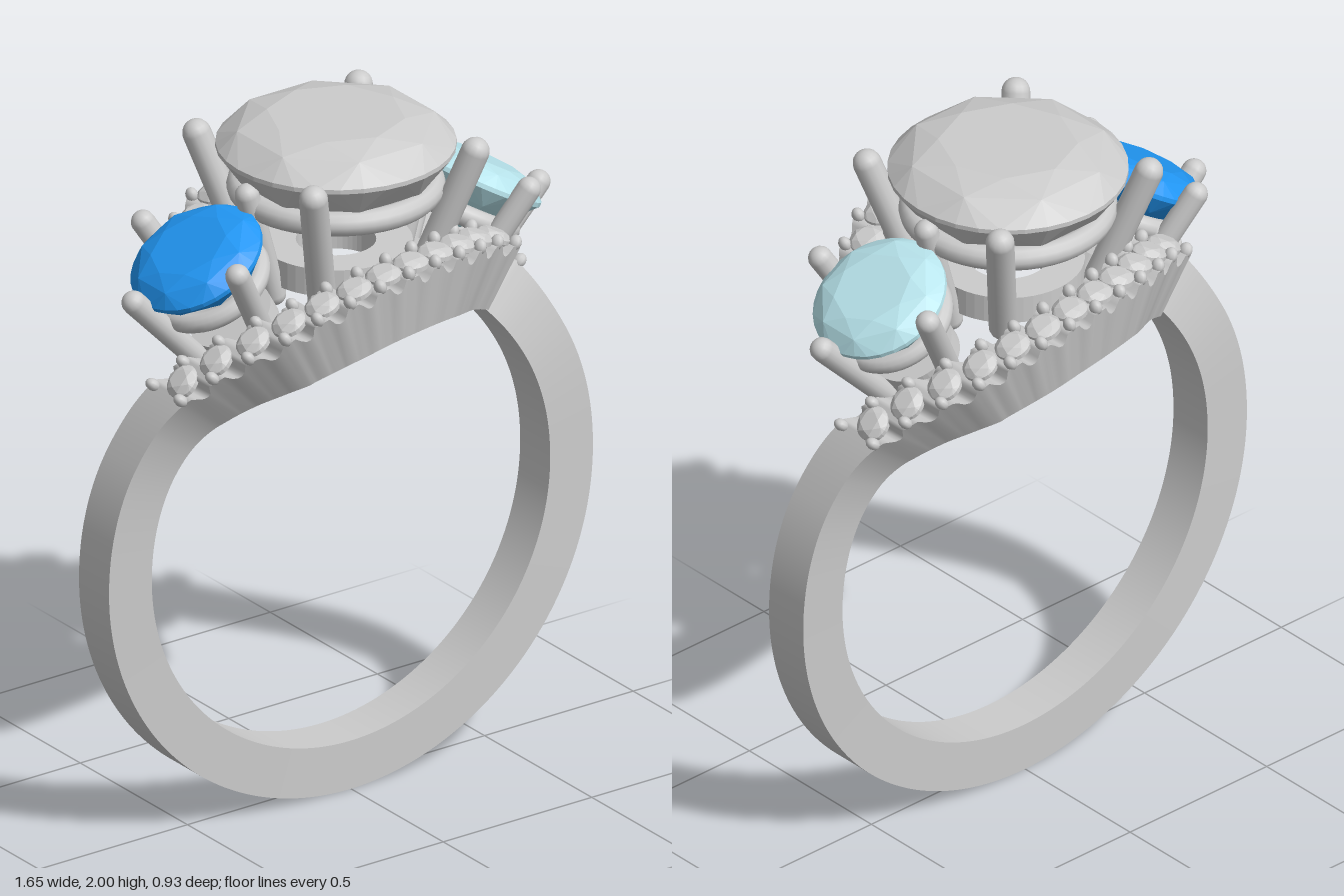
import * as THREE from 'three';
import { ConvexGeometry } from 'three/addons/geometries/ConvexGeometry.js';

const metal = new THREE.MeshStandardMaterial({ color: 0xcccccc });
const blue = new THREE.MeshStandardMaterial({ color: 0x2196f3 });
const paleBlue = new THREE.MeshStandardMaterial({ color: 0xb8e4ec });
const rad = THREE.MathUtils.degToRad;
const CENTRE = 0.825, INNER = 0.68;
const END = -28, FIRST = -24, PITCH = 6.4, STONES = 12;

function mesh(name, geometry, material = metal) {
  const m = new THREE.Mesh(geometry, material);
  m.name = name;
  return m;
}

// Sideways drift of the bypass band: [degrees from the top, z]
const drift = [[-28, -0.215], [-20, -0.262], [-10, -0.335], [0, -0.378], [9, -0.39], [18, -0.378],
  [29, -0.32], [36, -0.25], [42, -0.18], [50, -0.1], [58, -0.055], [70, -0.027], [90, -0.015], [130, -0.004], [180, 0]];
function driftAt(deg) {
  if (deg > 180) return -driftAt(360 - deg);
  let i = 0;
  while (i < drift.length - 2 && deg > drift[i + 1][0]) i++;
  const slope = (k) => {
    const a = drift[Math.max(k - 1, 0)], b = drift[Math.min(k + 1, drift.length - 1)];
    return (b[1] - a[1]) / (b[0] - a[0]);
  };
  const [x0, y0] = drift[i], [x1, y1] = drift[i + 1];
  const h = x1 - x0, t = (deg - x0) / h, u = 1 - t;
  return u * u * (1 + 2 * t) * y0 + t * t * (3 - 2 * t) * y1 + h * t * u * (u * slope(i) - t * slope(i + 1));
}
function halfWidth(deg) {
  const slope = (driftAt(deg + 0.5) - driftAt(deg - 0.5)) / (rad(1) * 0.8);
  return 0.07 * Math.min(1.2, Math.hypot(1, slope));
}
function outerRadius(deg) {
  const a = deg > 180 ? 360 - deg : deg;
  return 0.825 + 0.048 * (1 - THREE.MathUtils.smoothstep(a, 20, 65));
}
const polar = (deg, r, z) =>
  new THREE.Vector3(r * Math.sin(rad(deg)), CENTRE + r * Math.cos(rad(deg)), z);

// Band: one strip that overlaps itself at the top, with scalloped stone seats
function band() {
  const steps = 560, pos = [], idx = [], sections = [];
  for (let i = 0; i <= steps; i++) {
    const deg = END + (360 - 2 * END) * i / steps;
    const a = deg > 180 ? 360 - deg : deg;
    const k = (a - FIRST) / PITCH;
    const seat = k > -0.5 && k < STONES - 0.5 ? Math.max(0, Math.cos(2 * Math.PI * k)) : 0;
    const r = outerRadius(deg) - 0.03 * Math.sqrt(seat);
    const z = driftAt(deg), zi = z * 0.9, w = halfWidth(deg);
    sections.push([polar(deg, r, z + w), polar(deg, r, z - w),
      polar(deg, INNER, zi - w), polar(deg, INNER, zi + w)]);
  }
  // each side has its own vertices so the long edges stay sharp
  for (let side = 0; side < 4; side++) {
    const start = pos.length / 3;
    sections.forEach((s, i) => {
      pos.push(...s[side].toArray(), ...s[(side + 1) % 4].toArray());
      if (i === steps) return;
      const a = start + i * 2;
      idx.push(a, a + 2, a + 1, a + 1, a + 2, a + 3);
    });
  }
  [[sections[0], [0, 1, 2, 0, 2, 3]], [sections[steps], [0, 2, 1, 0, 3, 2]]].forEach(([s, order]) => {
    const start = pos.length / 3;
    s.forEach((p) => pos.push(...p.toArray()));
    idx.push(...order.map((o) => start + o));
  });
  const g = new THREE.BufferGeometry();
  g.setAttribute('position', new THREE.Float32BufferAttribute(pos, 3));
  g.setIndex(idx);
  g.computeVertexNormals();
  return mesh('band', g);
}

// Faceted round stone, girdle at y = 0
function gemGeometry(R, crown, depth, n) {
  const pts = [new THREE.Vector3(0, -depth, 0)];
  const ring = (r, y, count, turn) => {
    for (let i = 0; i < count; i++) {
      const a = 2 * Math.PI * (i + turn) / count;
      pts.push(new THREE.Vector3(r * Math.cos(a), y, r * Math.sin(a)));
    }
  };
  ring(R * 0.58, crown, n, 0);
  ring(R * 0.84, crown * 0.72, n, 0.5);
  ring(R, 0.005, n * 4, 0);
  ring(R, -0.008, n * 4, 0);
  ring(R * 0.8, -depth * 0.36, n, 0.5);
  return new ConvexGeometry(pts);
}

// Round-ended rod between two points
function rod(name, a, b, r) {
  const d = b.clone().sub(a);
  const m = mesh(name, new THREE.CapsuleGeometry(r, d.length(), 6, 14));
  m.position.copy(a).addScaledVector(d, 0.5);
  m.quaternion.setFromUnitVectors(new THREE.Vector3(0, 1, 0), d.normalize());
  return m;
}

// Four-prong basket holding a stone, girdle at its origin
function setting(name, o, material) {
  const g = new THREE.Group();
  g.name = name;
  g.add(mesh('stone', gemGeometry(o.R, o.crown, o.depth, 8), material));
  const gallery = mesh('galleryRing', new THREE.TorusGeometry(o.ringR, o.tube, 12, 48));
  gallery.rotation.x = Math.PI / 2;
  gallery.position.y = o.ringY;
  g.add(gallery);
  const shape = new THREE.Shape().absarc(0, 0, o.baseOut, 0, Math.PI * 2);
  shape.holes.push(new THREE.Path().absarc(0, 0, o.baseIn, 0, Math.PI * 2, true));
  const base = mesh('baseRing', new THREE.ExtrudeGeometry(shape,
    { depth: o.baseH, bevelEnabled: false, curveSegments: 24 }));
  base.rotation.x = -Math.PI / 2;
  base.position.y = o.footY - 0.01;
  g.add(base);
  for (let i = 0; i < 4; i++) {
    const a = o.turn + i * Math.PI / 2, c = Math.cos(a), s = Math.sin(a);
    g.add(rod('prong', new THREE.Vector3(o.footR * c, o.footY, o.footR * s),
      new THREE.Vector3(o.tipR * c, o.tipY, o.tipR * s), o.prong));
  }
  return g;
}

// Row of small stones with bead pairs between them
function paveRow() {
  const g = new THREE.Group();
  g.name = 'paveRow';
  const stone = gemGeometry(0.05, 0.022, 0.035, 6);
  const bead = new THREE.SphereGeometry(0.018, 10, 8);
  for (let i = 0; i <= STONES; i++) {
    const deg = FIRST + i * PITCH;
    if (i < STONES) {
      const m = mesh('paveStone', stone);
      m.position.copy(polar(deg, outerRadius(deg) + 0.002, driftAt(deg)));
      m.rotation.z = -rad(deg);
      g.add(m);
    }
    const mid = Math.max(deg - PITCH / 2, END + 1), w = halfWidth(mid) - 0.016;
    for (const side of [-1, 1]) {
      const b = mesh('bead', bead);
      b.position.copy(polar(mid, outerRadius(mid) + 0.008, driftAt(mid) + side * w));
      b.rotation.z = -rad(mid);
      b.scale.set(0.95, 1.25, 1.15);
      g.add(b);
    }
  }
  return g;
}

export function createModel() {
  const model = new THREE.Group();
  model.name = 'ring';
  model.add(band());

  // Pave on both arms, related by a half turn
  const back = paveRow(), front = back.clone();
  front.rotation.y = Math.PI;
  model.add(back, front);

  const centre = setting('centreSetting', {
    R: 0.33, crown: 0.085, depth: 0.28, ringR: 0.265, ringY: -0.125, tube: 0.035,
    baseIn: 0.11, baseOut: 0.21, baseH: 0.08, turn: Math.PI / 4,
    footR: 0.24, footY: -0.36, tipR: 0.385, tipY: 0, prong: 0.04,
  }, metal);
  centre.position.y = 1.915;
  model.add(centre);

  // Side stones lean outwards
  for (const s of [-1, 1]) {
    const side = setting(s > 0 ? 'leftSetting' : 'rightSetting', {
      R: 0.195, crown: 0.055, depth: 0.16, ringR: 0.145, ringY: -0.1, tube: 0.03,
      baseIn: 0.03, baseOut: 0.12, baseH: 0.06, turn: 0,
      footR: 0.14, footY: -0.28, tipR: 0.22, tipY: 0.04, prong: 0.034,
    }, s > 0 ? paleBlue : blue);
    side.position.set(s * 0.47, 1.69, 0);
    side.rotation.z = -s * rad(30);
    model.add(side);
  }
  return model;
}
